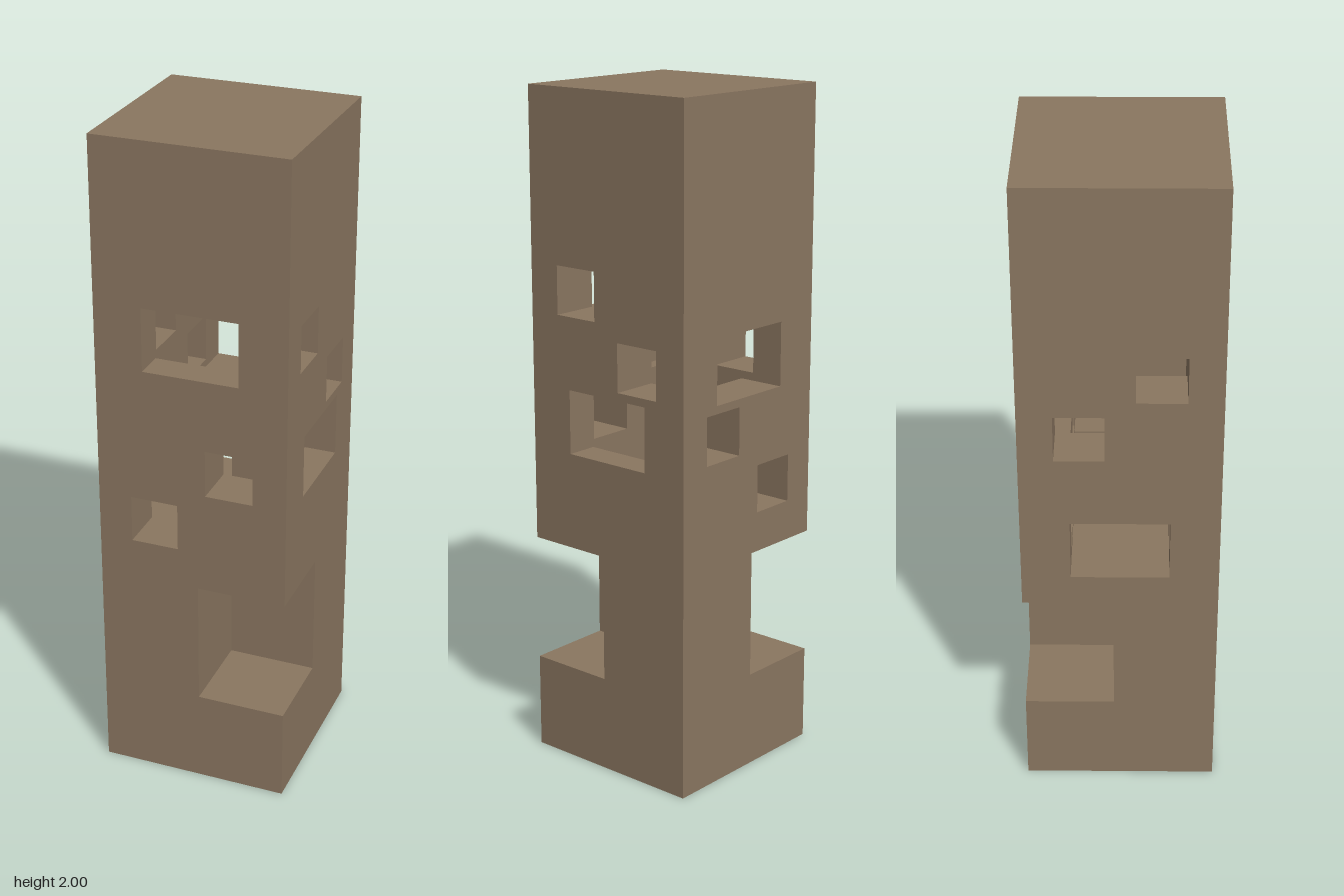
import * as THREE from 'three';

// The post is 6 x 21 x 6 modules
const U = 2 / 21;
const POST = [[-3, 3], [0, 21], [-3, 3]];

// Cuts as [x range], [y range], [z range], in modules
const CUTS = [
  // Mortises, one from each face, stacked down the post
  [[-1.5, 1.5], [14, 16], [-2, 3]],
  [[-1.5, 1.5], [12, 14], [-3, 2]],
  [[-2, 3], [10, 12], [-1.5, 1.5]],
  [[-3, 2], [8, 10], [-1.5, 1.5]],
  // Peg holes, right through the post
  [[-3, 3], [14.25, 15.75], [0.45, 1.95]],
  [[-3, 3], [12.25, 13.75], [-1.95, -0.45]],
  [[0.45, 1.95], [10.25, 11.75], [-3, 3]],
  [[-1.95, -0.45], [8.25, 9.75], [-3, 3]],
  // Notches in two opposite corners
  [[0.2, 3], [3, 7], [0.2, 3]],
  [[-3, -0.2], [3, 7], [-3, -0.2]],
];

// Box with box-shaped cuts: split space at every cut plane and
// keep the faces that lie between a solid and an empty cell
function cutBlock(block, cuts) {
  const planes = [0, 1, 2].map((a) =>
    [...new Set([block, ...cuts].flatMap((b) => b[a]))].sort((p, q) => p - q));
  const inside = (b, p) => b.every(([lo, hi], a) => p[a] > lo && p[a] < hi);
  const solid = (cell) => {
    if (cell.some((i, a) => i < 0 || i >= planes[a].length - 1)) return false;
    const mid = cell.map((i, a) => (planes[a][i] + planes[a][i + 1]) / 2);
    return !cuts.some((c) => inside(c, mid));
  };

  const positions = [];
  const addFace = (cell, axis, side) => {
    const b = (axis + 1) % 3, c = (axis + 2) % 3;
    const corner = (db, dc) => {
      const p = [];
      p[axis] = planes[axis][cell[axis] + side] * U;
      p[b] = planes[b][cell[b] + db] * U;
      p[c] = planes[c][cell[c] + dc] * U;
      return p;
    };
    const q = [corner(0, 0), corner(1, 0), corner(1, 1), corner(0, 1)];
    if (!side) q.reverse();
    for (const i of [0, 1, 2, 0, 2, 3]) positions.push(...q[i]);
  };

  for (let i = 0; i < planes[0].length - 1; i++)
    for (let j = 0; j < planes[1].length - 1; j++)
      for (let k = 0; k < planes[2].length - 1; k++) {
        const cell = [i, j, k];
        if (!solid(cell)) continue;
        for (let axis = 0; axis < 3; axis++)
          for (const side of [0, 1]) {
            const next = [...cell];
            next[axis] += side ? 1 : -1;
            if (!solid(next)) addFace(cell, axis, side);
          }
      }

  const geometry = new THREE.BufferGeometry();
  geometry.setAttribute('position', new THREE.Float32BufferAttribute(positions, 3));
  geometry.computeVertexNormals();
  return geometry;
}

export function createModel() {
  const wood = new THREE.MeshStandardMaterial({ color: 0x8a7660 });
  wood.name = 'wood';

  const post = new THREE.Mesh(cutBlock(POST, CUTS), wood);
  post.name = 'mortisedPost';

  const model = new THREE.Group();
  model.name = 'timberPost';
  model.add(post);
  return model;
}
